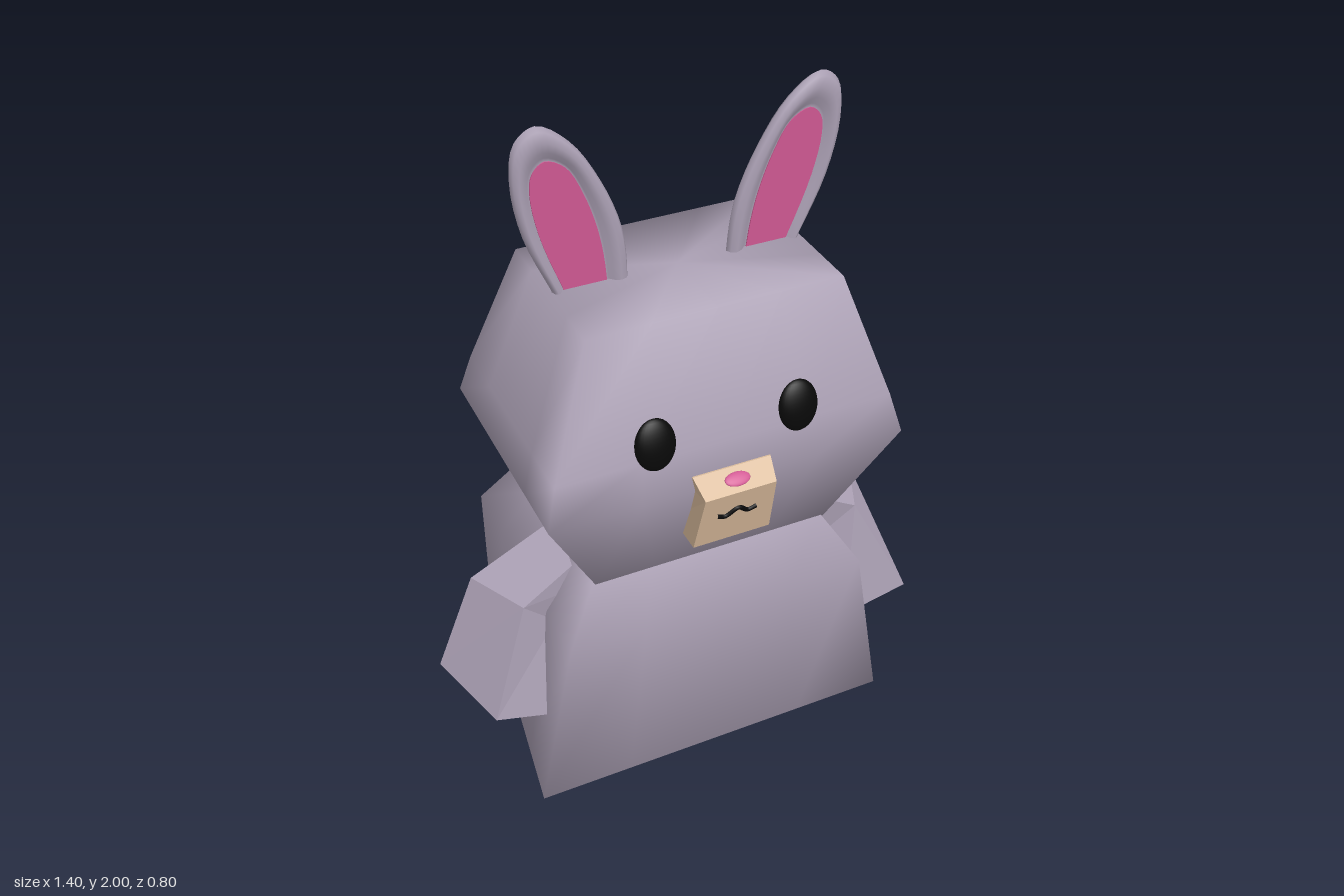
import * as THREE from 'three';

const fur = new THREE.MeshStandardMaterial({ color: 0xada2b6 });
fur.name = 'lilac grey fur';
const pink = new THREE.MeshStandardMaterial({ color: 0xd25a94 });
pink.name = 'pink';
const cream = new THREE.MeshStandardMaterial({ color: 0xd9bb9c });
cream.name = 'cream';
const black = new THREE.MeshStandardMaterial({ color: 0x080808 });
black.name = 'black';

// Skin a stack of equal-length rings (counter-clockwise about the stacking direction), with both ends capped.
function loft(rings, flat = false) {
  const n = rings[0].length, last = (rings.length - 1) * n;
  const points = rings.flat(), index = [];
  for (let i = 0; i < last; i += n) {
    for (let j = 0; j < n; j++) {
      const a = i + j, b = i + (j + 1) % n;
      index.push(a, b, b + n, a, b + n, a + n);
    }
  }
  const centre = ring => [0, 1, 2].map(k => ring.reduce((s, p) => s + p[k], 0) / n);
  const c = points.length;
  points.push(centre(rings[0]), centre(rings[rings.length - 1]));
  for (let j = 0; j < n; j++) {
    const k = (j + 1) % n;
    index.push(c, k, j, c + 1, last + j, last + k);
  }
  let geo = new THREE.BufferGeometry();
  geo.setAttribute('position', new THREE.Float32BufferAttribute(points.flat(), 3));
  geo.setIndex(index);
  if (flat) geo = geo.toNonIndexed();
  geo.computeVertexNormals();
  return geo;
}

// Four-sided ring at height y, each side split so the shading stays broad.
function ring(y, frontW, frontZ, backW, backZ, split = 4) {
  const c = [[-frontW, frontZ], [frontW, frontZ], [backW, backZ], [-backW, backZ]];
  const out = [];
  c.forEach((p, i) => {
    const q = c[(i + 1) % 4];
    for (let k = 0; k < split; k++) {
      const t = k / split;
      out.push([p[0] + (q[0] - p[0]) * t, y, p[1] + (q[1] - p[1]) * t]);
    }
  });
  return out;
}

// Mirror rings across x, keeping the faces outward.
const mirror = rings => rings.map(r => r.map(([x, y, z]) => [-x, y, z]).reverse());

function add(parent, name, geo, mat, x = 0, y = 0, z = 0) {
  const mesh = new THREE.Mesh(geo, mat);
  mesh.name = name;
  mesh.position.set(x, y, z);
  parent.add(mesh);
  return mesh;
}

function sampleLoop(points, count) {
  const v = points.map(([x, y]) => new THREE.Vector3(x, y, 0)).reverse();
  return new THREE.CatmullRomCurve3(v, true).getPoints(count).slice(0, count);
}

// Ear with a rounded rim, a shallow hollow and a pink lining.
function buildEar(side) {
  const ear = new THREE.Group();
  ear.name = side > 0 ? 'leftEar' : 'rightEar';
  const outer = sampleLoop([[0.14, 1.48], [0.135, 1.56], [0.15, 1.69], [0.205, 1.83], [0.28, 1.945],
    [0.36, 1.998], [0.41, 1.965], [0.425, 1.87], [0.40, 1.72], [0.335, 1.56], [0.30, 1.48]], 44);
  const inner = sampleLoop([[0.19, 1.48], [0.19, 1.56], [0.21, 1.69], [0.25, 1.81], [0.29, 1.88],
    [0.34, 1.905], [0.37, 1.88], [0.378, 1.83], [0.36, 1.72], [0.305, 1.56], [0.27, 1.48]], 44);
  const leanZ = y => 0.02 + (y - 1.55) * 0.055;
  const slice = ([t, z]) => outer.map((p, i) => {
    const q = p.clone().lerp(inner[i], t);
    return [q.x, q.y, leanZ(q.y) + z];
  });
  const rows = [[1, -0.021], [0.4, -0.016], [0.08, -0.007], [0, 0.003], [0.12, 0.015],
    [0.4, 0.021], [0.7, 0.014], [0.9, 0.003], [1, 0.002]].map(slice);
  const lining = [[1, 0.002], [1, 0.005]].map(slice);
  add(ear, 'earShell', loft(side > 0 ? rows : mirror(rows)), fur);
  add(ear, 'earLining', loft(side > 0 ? lining : mirror(lining), true), pink);
  return ear;
}

export function createModel() {
  const model = new THREE.Group();
  model.name = 'rabbit';

  // Body: skirt-like block whose tapered shoulders run up inside the head
  add(model, 'body', loft([
    ring(0.12, 0.53, 0.315, 0.43, -0.38),
    ring(0.65, 0.43, 0.32, 0.43, -0.385),
    ring(0.80, 0.335, 0.25, 0.335, -0.305),
    ring(0.98, 0.22, 0.16, 0.22, -0.21),
  ]), fur);

  // Tail
  add(model, 'tail', new THREE.SphereGeometry(0.046, 20, 14), fur, -0.033, 0.41, -0.357);

  // Legs: oval stubs with rounded soles
  const sole = [[0, 0], [0.6, 0.004], [0.82, 0.015], [0.93, 0.035], [0.98, 0.07], [1, 0.13], [1, 0.18]];
  const legGeo = new THREE.LatheGeometry(sole.map(p => new THREE.Vector2(...p)), 32);
  legGeo.scale(0.163, 1, 0.135);
  legGeo.computeVertexNormals();
  add(model, 'leftLeg', legGeo, fur, 0.185, 0, -0.025);
  add(model, 'rightLeg', legGeo, fur, -0.187, 0, -0.025);

  // Arms: faceted, bent at the elbow; corners run top back, top front, under front, under back
  const armRings = [
    [[0.30, 0.82, -0.03], [0.30, 0.80, 0.13], [0.28, 0.68, 0.12], [0.28, 0.66, -0.06]],
    [[0.585, 0.70, -0.01], [0.50, 0.71, 0.17], [0.40, 0.59, 0.13], [0.45, 0.56, -0.04]],
    [[0.70, 0.43, 0.0], [0.63, 0.44, 0.27], [0.47, 0.34, 0.22], [0.515, 0.30, -0.04]],
  ];
  add(model, 'leftArm', loft(armRings, true), fur);
  add(model, 'rightArm', loft(mirror(armRings), true), fur);

  // Head and everything on it sit slightly off centre
  const head = new THREE.Group();
  head.name = 'head';
  head.position.x = 0.01;
  model.add(head);
  add(head, 'skull', loft([
    ring(0.79, 0.335, 0.25, 0.335, -0.205),
    ring(1.10, 0.49, 0.35, 0.49, -0.31),
    ring(1.21, 0.46, 0.325, 0.46, -0.285),
    ring(1.55, 0.34, 0.25, 0.34, -0.205),
  ]), fur);

  // Ears and eyes
  for (const side of [1, -1]) {
    head.add(buildEar(side));
    const eye = add(head, side > 0 ? 'leftEye' : 'rightEye',
      new THREE.SphereGeometry(1, 28, 18), black, side * 0.195, 1.25, 0.314);
    eye.scale.set(0.055, 0.07, 0.024);
    eye.rotation.x = -0.22;
  }

  // Muzzle, nose and mouth
  add(head, 'muzzle', loft([
    ring(0.92, 0.108, 0.355, 0.108, 0.22, 1),
    ring(1.10, 0.098, 0.40, 0.112, 0.25, 1),
    ring(1.14, 0.108, 0.345, 0.112, 0.25, 1),
  ], true), cream);
  const nose = add(head, 'nose', new THREE.SphereGeometry(1, 20, 12), pink, 0.002, 1.121, 0.373);
  nose.scale.set(0.035, 0.019, 0.006);
  nose.rotation.x = -0.94;
  const lip = [[-0.058, 1.027], [-0.034, 1.019], [0, 1.04], [0.028, 1.02], [0.052, 1.027]];
  const lipCurve = new THREE.CatmullRomCurve3(
    lip.map(([x, y]) => new THREE.Vector3(x, y, 0.40 - (1.10 - y) * 0.25)));
  add(head, 'mouth', new THREE.TubeGeometry(lipCurve, 24, 0.007, 8), black);

  return model;
}
